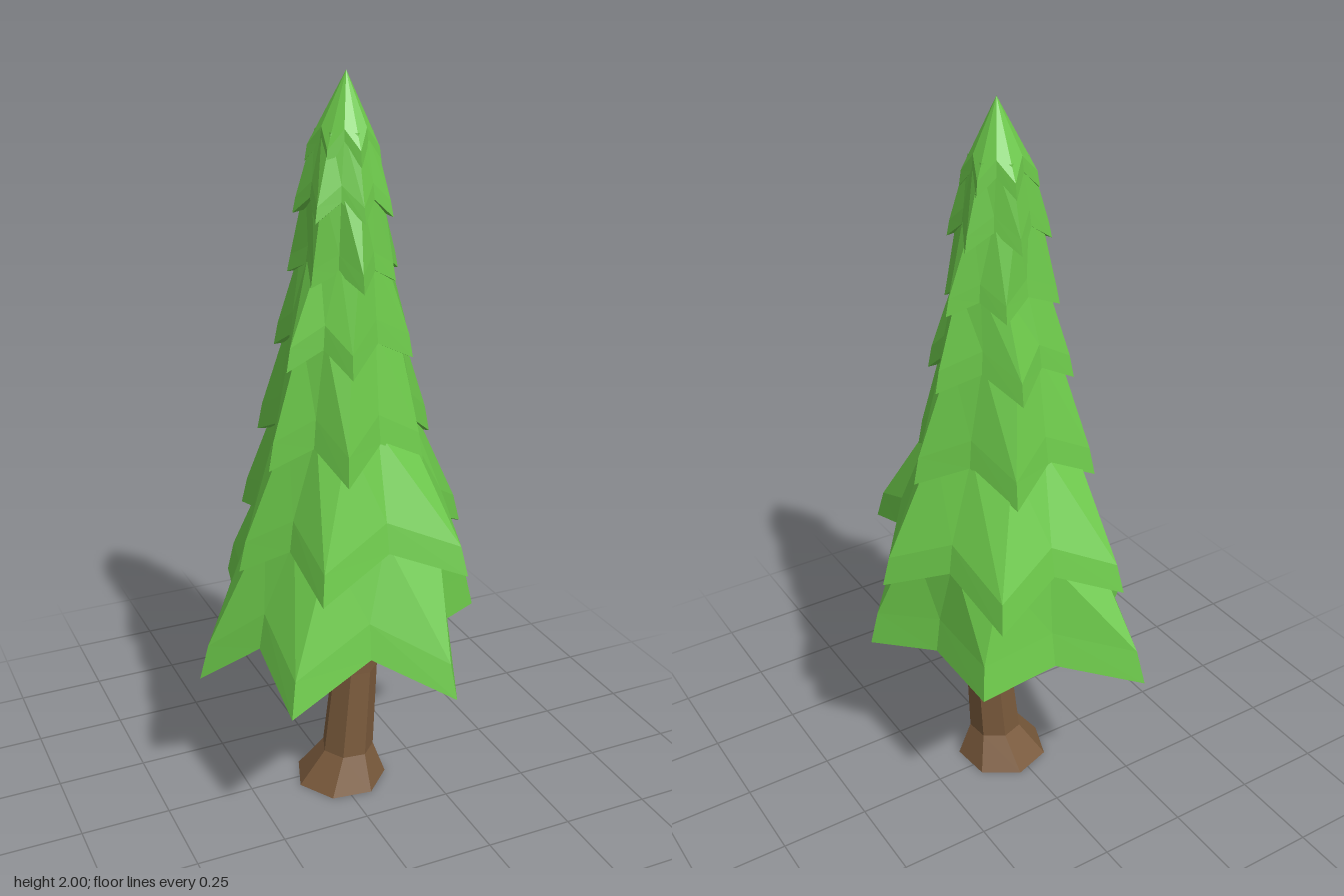
import * as THREE from 'three';

// Joins rings of [x, y, z] points from bottom to top; a single-point ring closes an end.
function loft(rings) {
  const pos = [];
  const tri = (a, b, c) => pos.push(...a, ...b, ...c);
  for (let r = 0; r + 1 < rings.length; r++) {
    const a = rings[r], b = rings[r + 1], n = Math.max(a.length, b.length);
    for (let i = 0; i < n; i++) {
      const j = (i + 1) % n;
      if (a.length === 1) tri(a[0], b[i], b[j]);
      else if (b.length === 1) tri(a[i], b[0], a[j]);
      else {
        tri(a[i], b[i], b[j]);
        tri(a[i], b[j], a[j]);
      }
    }
  }
  const geo = new THREE.BufferGeometry();
  geo.setAttribute('position', new THREE.Float32BufferAttribute(pos, 3));
  geo.computeVertexNormals();
  return geo;
}

const CX = 0.04; // crown axis

// Branch tiers: tip height, notch rise, lip height, six tips as [x, z, optional y]
const TIERS = [
  { y: 0.46, rise: 0.1, lip: 0.095, tips: [[-0.15, -0.435, 0.49], [0.28, -0.31, 0.53], [0.4, 0.095, 0.51], [0.17, 0.43, 0.44], [-0.27, 0.365, 0.455], [-0.4, 0.025, 0.42]] },
  { y: 0.745, rise: 0.085, lip: 0.08, tips: [[-0.13, -0.35], [0.24, -0.34], [0.39, 0.02], [0.24, 0.34], [-0.175, 0.345], [-0.295, 0.07]] },
  { y: 1.03, rise: 0.07, lip: 0.075, tips: [[-0.135, -0.195], [0.135, -0.245], [0.29, 0.01], [0.175, 0.195], [-0.08, 0.29], [-0.22, 0.105]] },
  { y: 1.29, rise: 0.06, lip: 0.06, tips: [[-0.11, -0.125], [0.09, -0.2], [0.235, -0.02], [0.175, 0.125], [-0.045, 0.235], [-0.17, 0.11]] },
  { y: 1.49, rise: 0.04, lip: 0.045, tips: [[-0.08, -0.1], [0.1, -0.14], [0.2, -0.02], [0.135, 0.1], [0.005, 0.19], [-0.09, 0.08]] },
  { y: 1.65, rise: 0.05, lip: 0.04, tips: [[-0.08, -0.06], [0.05, -0.13], [0.155, -0.04], [0.13, 0.09], [0.03, 0.14], [-0.08, 0.085]] },
  { y: 1.78, rise: 0.05, lip: 0.04, tips: [[-0.05, -0.05], [0.05, -0.105], [0.125, -0.045], [0.11, 0.06], [0.035, 0.105], [-0.04, 0.06]] },
];

// Star outline: tips alternating with raised notches pulled towards the axis
function starRing({ y, rise, tips }) {
  return tips.flatMap(([x, z, ty = y], i) => {
    const [nx, nz] = tips[(i + 1) % tips.length];
    return [
      [x, ty, z],
      [CX + ((x + nx) / 2 - CX) * 0.85, y + rise, ((z + nz) / 2) * 0.85],
    ];
  });
}

function tierGeometry(tier, next) {
  const edge = starRing(tier);
  // steep lip around the rim
  const lip = edge.map(([x, y, z]) => [CX + (x - CX) * 0.94, y + tier.lip, z * 0.94]);
  // upper end tucks inside the next tier, or meets at the treetop
  const top = next
    ? starRing(next).map(([x, , z], i) => {
        const s = i % 2 ? 0.92 : 0.75;
        return [CX + (x - CX) * s, next.y + next.rise + 0.03, z * s];
      })
    : [[CX, 2, 0]];
  const underside = [[CX, tier.y + tier.rise * 0.9, 0.02]];
  return loft([underside, edge, lip, top]);
}

// Bent seven-sided trunk with flared foot: x, y, z, radius
function trunkGeometry() {
  const sections = [
    [0.017, 0, 0.027, 0.132],
    [0.035, 0.1, 0.037, 0.075],
    [0.058, 0.36, 0.033, 0.065],
    [0.035, 0.6, 0.03, 0.064],
  ];
  const rings = sections.map(([x, y, z, r]) =>
    Array.from({ length: 7 }, (_, i) => {
      const a = (i / 7) * Math.PI * 2 + 0.35;
      return [x + r * Math.cos(a), y, z + r * Math.sin(a)];
    }));
  return loft([[[0.017, 0, 0.027]], ...rings, [[0.035, 0.6, 0.03]]]);
}

export function createModel() {
  const group = new THREE.Group();
  const bark = new THREE.MeshStandardMaterial({ color: 0x7a5a3c, flatShading: true });
  const needles = new THREE.MeshStandardMaterial({ color: 0x6cc84a, flatShading: true });

  const trunk = new THREE.Mesh(trunkGeometry(), bark);
  trunk.name = 'trunk';
  group.add(trunk);

  TIERS.forEach((tier, i) => {
    const mesh = new THREE.Mesh(tierGeometry(tier, TIERS[i + 1]), needles);
    mesh.name = `branchTier${i + 1}`;
    group.add(mesh);
  });
  return group;
}
